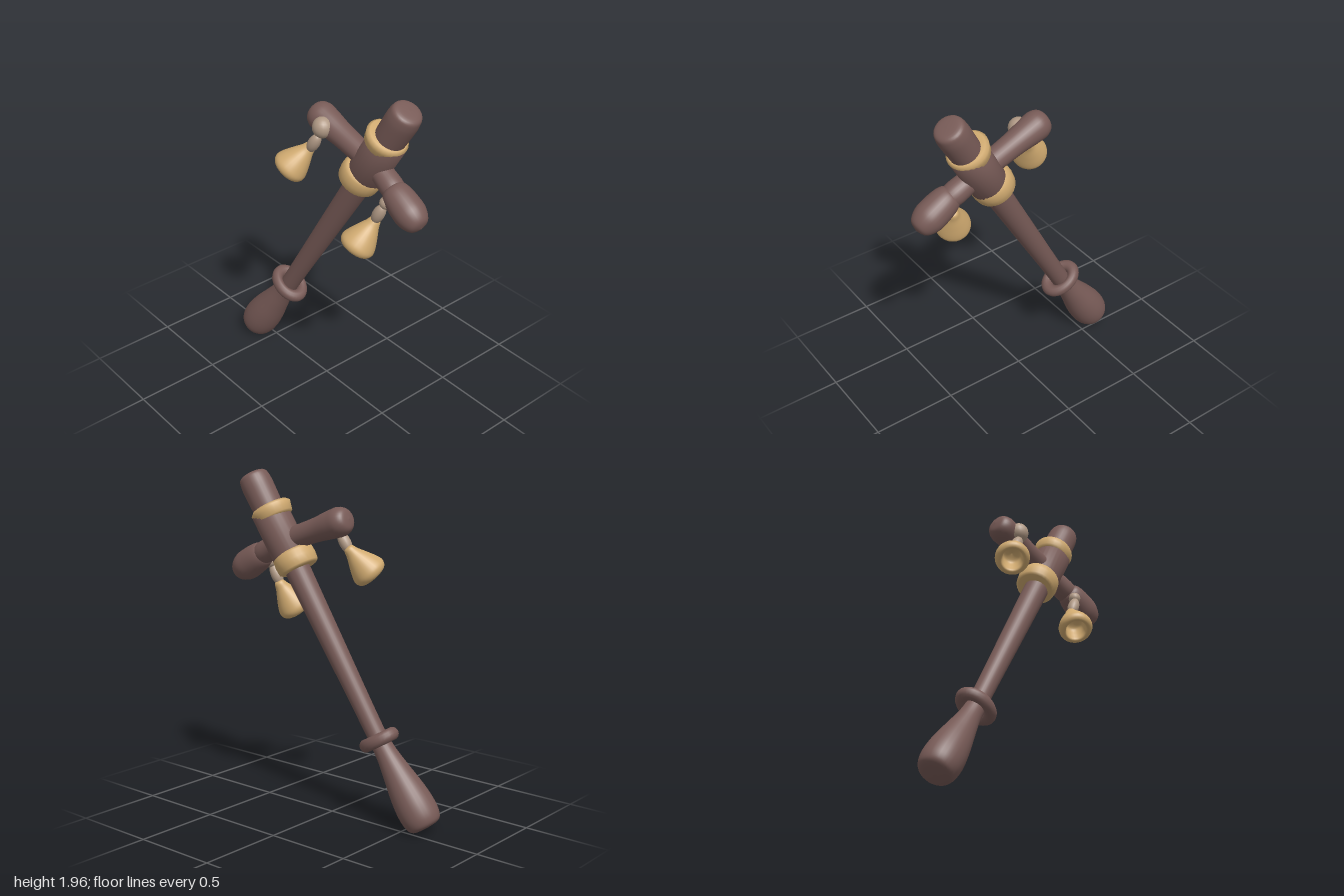
import * as THREE from 'three';

const mat = (name, color) => {
  const m = new THREE.MeshStandardMaterial({ color });
  m.name = name;
  return m;
};
const V = (x, y, z) => new THREE.Vector3(x, y, z);
const UP = V(0, 1, 0);

// Smooth turned shape running from point a towards point b.
// Each profile entry is [radius, distance from a].
function turned(name, material, a, b, profile, smooth = true) {
  let pts = profile.map(([r, s]) => new THREE.Vector2(r, s));
  if (smooth) {
    pts = new THREE.SplineCurve(pts).getPoints(profile.length * 5);
    pts.forEach((p) => { p.x = Math.max(p.x, 0); });
  }
  const mesh = new THREE.Mesh(new THREE.LatheGeometry(pts, 28), material);
  mesh.name = name;
  mesh.position.copy(a);
  mesh.quaternion.setFromUnitVectors(UP, b.clone().sub(a).normalize());
  return mesh;
}

function ellipsoid(name, material, center, axis, radius, half) {
  const mesh = new THREE.Mesh(new THREE.SphereGeometry(1, 20, 14), material);
  mesh.name = name;
  mesh.position.copy(center);
  mesh.scale.set(radius, half, radius);
  mesh.quaternion.setFromUnitVectors(UP, axis.clone().normalize());
  return mesh;
}

export function createModel() {
  const wood = mat('dark wood', 0x785b57);
  const tan = mat('tan leather and horn', 0xd0aa70);
  const bone = mat('bone bead', 0xb09985);
  const group = new THREE.Group();

  // Leaning shaft axis, addressed by height
  const low = V(-0.325, 0.51, 0.02), top = V(0.51, 1.95, -0.105);
  const onShaft = (y) => low.clone().lerp(top, (y - low.y) / (top.y - low.y));
  const dir = top.clone().sub(low).normalize();
  const len = top.distanceTo(low);

  // Shaft with blunt rounded top
  group.add(turned('shaft', wood, low, top, [
    [0.054, -0.03], [0.056, 0.2], [0.064, 0.6], [0.073, 1.05], [0.082, 1.3],
    [0.09, len - 0.15], [0.089, len - 0.05], [0.07, len - 0.008], [0, len],
  ]));

  // Swollen grip
  group.add(turned('grip', wood, V(-0.632, 0.055, 0.06), low, [
    [0, 0], [0.075, 0.008], [0.104, 0.045], [0.112, 0.12], [0.103, 0.22],
    [0.08, 0.35], [0.062, 0.46], [0.055, 0.56],
  ]));

  // Ring above the grip
  const ringGeo = new THREE.TorusGeometry(0.092, 0.037, 14, 32);
  ringGeo.rotateX(Math.PI / 2);
  ringGeo.scale(1, 1, 0.78);
  const ring = new THREE.Mesh(ringGeo, wood);
  ring.name = 'gripRing';
  ring.position.copy(low);
  ring.quaternion.setFromUnitVectors(UP, dir);
  group.add(ring);

  // Thick head block
  group.add(turned('headBlock', wood, onShaft(1.45), top,
    [[0, 0], [0.107, 0], [0.107, 0.34], [0, 0.34]], false));

  // Tan bindings at both ends of the block
  const binding = (name, y, r, half, flare) => {
    const c = onShaft(y).add(V(-0.015, 0, 0.004));
    group.add(turned(name, tan, c, c.clone().add(dir), [
      [0.06, -half], [r - 0.02, -half], [r - 0.005, -half + 0.012], [r, 0],
      [r + flare, half - 0.015], [r + flare - 0.015, half], [0.06, half],
    ], false));
  };
  binding('lowerBinding', 1.475, 0.123, 0.055, -0.004);
  binding('upperBinding', 1.735, 0.114, 0.04, 0.006);

  // Cross arms: a stubby one on the right, a necked bulb on the left
  group.add(turned('rightArm', wood, V(-0.152, 1.732, -0.035), V(0.28, 1.585, -0.06), [
    [0, 0], [0.055, 0.012], [0.081, 0.055], [0.08, 0.12], [0.069, 0.23],
    [0.065, 0.35], [0.065, 0.46],
  ]));
  group.add(turned('leftArmNeck', wood, V(0.28, 1.595, -0.07), V(0.5, 1.48, -0.055), [
    [0.065, 0], [0.063, 0.1], [0.066, 0.2], [0.05, 0.25], [0, 0.26],
  ]));
  group.add(turned('leftArmBulb', wood, V(0.452, 1.508, -0.05), V(0.69, 1.362, -0.05), [
    [0, 0], [0.055, 0.012], [0.078, 0.05], [0.088, 0.13], [0.085, 0.2],
    [0.055, 0.26], [0, 0.279],
  ]));

  // Hollow hanging bells
  const bellProfile = [
    [0, -0.008], [0.026, 0], [0.042, 0.04], [0.067, 0.09], [0.09, 0.14],
    [0.1, 0.175], [0.093, 0.2], [0.076, 0.213], [0.062, 0.205],
    [0.056, 0.17], [0.045, 0.12], [0, 0.1],
  ];
  const bell = (name, p, axis) =>
    group.add(turned(name, tan, p, p.clone().add(axis), bellProfile));
  bell('rightBell', V(-0.085, 1.56, 0.035), V(-0.43, -0.74, 0.5));
  bell('leftBell', V(0.422, 1.325, 0.015), V(-0.28, -0.84, 0.48));

  // Beads the bells hang from
  group.add(ellipsoid('rightKnot', bone, V(-0.012, 1.692, 0.02), UP, 0.057, 0.06));
  group.add(ellipsoid('rightBead', bone, V(-0.055, 1.588, 0.045), V(0.5, 0.86, -0.1), 0.034, 0.068));
  group.add(ellipsoid('leftBead', bone, V(0.443, 1.366, 0.02), V(0.42, 0.9, -0.1), 0.034, 0.068));
  group.add(ellipsoid('leftKnot', bone, V(0.475, 1.44, 0.0), UP, 0.036, 0.036));

  return group;
}
